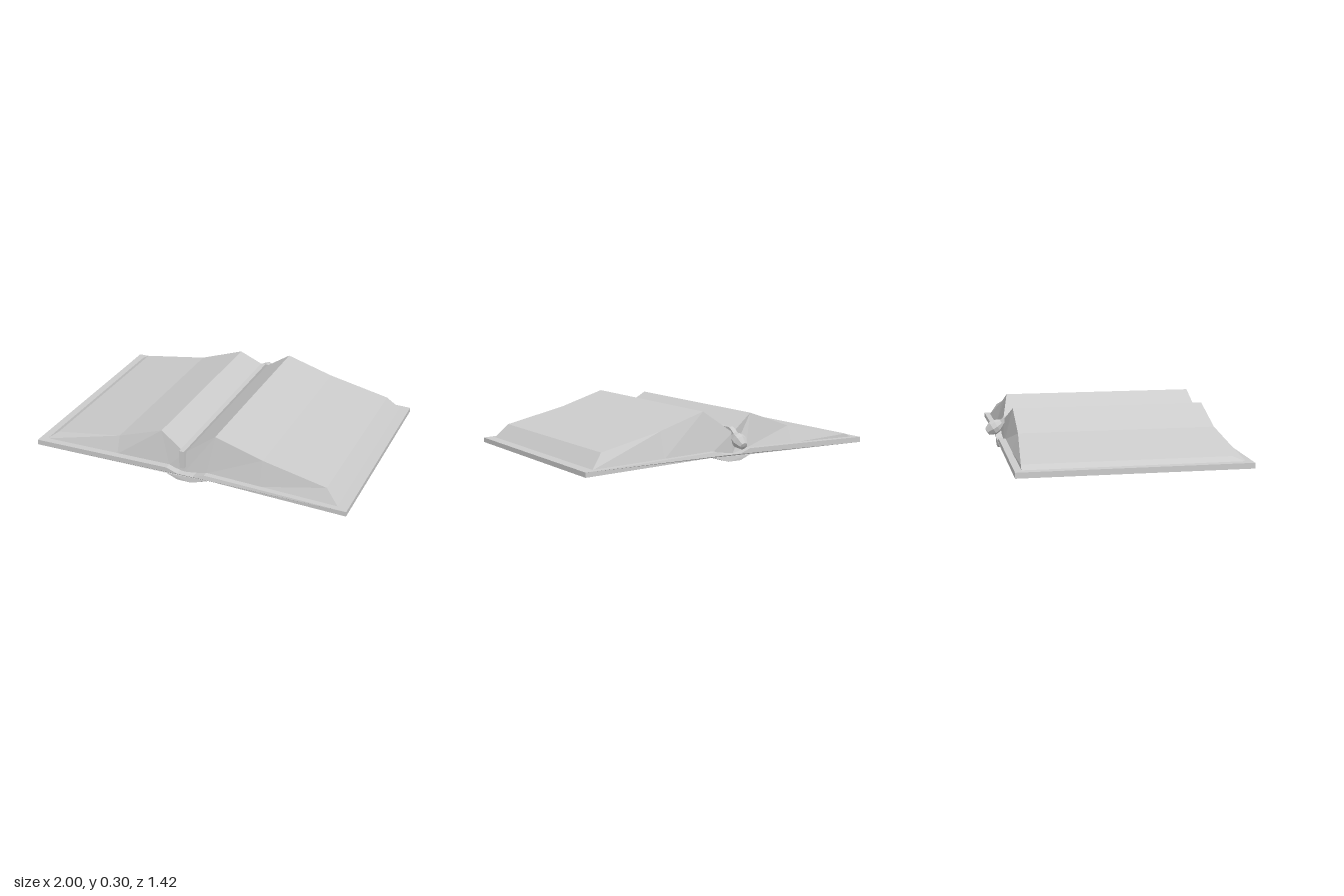
import * as THREE from 'three';

const material = new THREE.MeshStandardMaterial({ color: 0xcccccc, flatShading: true });

function addMesh(parent, name, geometry) {
  const mesh = new THREE.Mesh(geometry, material);
  mesh.name = name;
  parent.add(mesh);
  return mesh;
}

// Skin four-cornered rings with flat faces and close both ends.
function loft(rings) {
  const pos = [];
  const quad = (a, b, c, d) => [a, b, c, a, c, d].forEach((p) => pos.push(...p));
  for (let i = 0; i < rings.length - 1; i++) {
    for (let j = 0; j < 4; j++) {
      const k = (j + 1) % 4;
      quad(rings[i][k], rings[i + 1][k], rings[i + 1][j], rings[i][j]);
    }
  }
  quad(...[...rings[0]].reverse());
  quad(...rings[rings.length - 1]);
  const geometry = new THREE.BufferGeometry();
  geometry.setAttribute('position', new THREE.Float32BufferAttribute(pos, 3));
  geometry.computeVertexNormals();
  return geometry;
}

// Cover boards and curved spine, one bent strip running front to back.
function coverGeometry() {
  const outline = [
    [-1, 0.015], [-0.11, 0.028], [-0.04, 0], [0.05, 0], [0.12, 0.02], [0.16, 0.035], [1, 0.015],
    [1, 0.044], [0.13, 0.065], [0.06, 0.04], [-0.04, 0.04], [-0.11, 0.065], [-1, 0.048],
  ].map(([x, y]) => new THREE.Vector2(x, y));
  const geometry = new THREE.ExtrudeGeometry(new THREE.Shape(outline), { depth: 1, bevelEnabled: false });
  const p = geometry.attributes.position;
  for (let i = 0; i < p.count; i++) {
    // The right-hand board is very slightly shorter.
    const trim = p.getX(i) > 0.1 ? 0.007 : 0;
    p.setZ(i, p.getZ(i) > 0.5 ? 0.705 - trim : -0.642 + trim);
  }
  geometry.computeVertexNormals();
  return geometry;
}

// Page block: top x, top y, top front z, top back z, bottom x, bottom y.
function pagesGeometry() {
  const sections = [
    [-0.91, 0.072, 0.6, -0.6, -0.955, 0.047],
    [-0.46, 0.16, 0.627, -0.562, -0.46, 0.055],
    [-0.172, 0.263, 0.63, -0.56, -0.11, 0.06],
    [-0.01, 0.163, 0.655, -0.603, -0.01, 0.038],
    [0.175, 0.298, 0.63, -0.56, 0.13, 0.06],
    [0.47, 0.21, 0.63, -0.56, 0.47, 0.055],
    [0.86, 0.127, 0.63, -0.56, 0.94, 0.043],
  ];
  return loft(sections.map(([x, y, zf, zb, bx, by]) => [
    [x, y, zf], [bx, by, 0.665], [bx, by, -0.602], [x, y, zb],
  ]));
}

// Ribbon lying in the gutter, hanging over the front and bending down at the back.
function ribbonGeometry() {
  // z and y of the outer side, then of the inner side
  const path = [
    [0.69, 0.075, 0.665, 0.075],
    [0.688, 0.187, 0.66, 0.16],
    [-0.575, 0.193, -0.57, 0.162],
    [-0.605, 0.178, -0.592, 0.152],
    [-0.635, 0.15, -0.622, 0.13],
  ];
  return loft(path.map(([zo, yo, zi, yi]) => [
    [0, yo, zo], [0, yi, zi], [-0.031, yi, zi], [-0.031, yo, zo],
  ]));
}

// Faceted bead on the ribbon's end.
function beadGeometry() {
  const profile = [[0, -0.056], [0.025, -0.052], [0.045, -0.012], [0.042, 0.018], [0.022, 0.052], [0, 0.056]]
    .map(([r, y]) => new THREE.Vector2(r, y));
  return new THREE.LatheGeometry(profile, 8);
}

export function createModel() {
  const book = new THREE.Group();
  book.name = 'openBook';
  addMesh(book, 'cover', coverGeometry());
  addMesh(book, 'pages', pagesGeometry());

  const bookmark = new THREE.Group();
  bookmark.name = 'bookmark';
  addMesh(bookmark, 'ribbon', ribbonGeometry());
  const bead = addMesh(bookmark, 'bead', beadGeometry());
  bead.position.set(-0.015, 0.122, -0.658);
  bead.rotation.x = 1.02;
  book.add(bookmark);
  return book;
}
